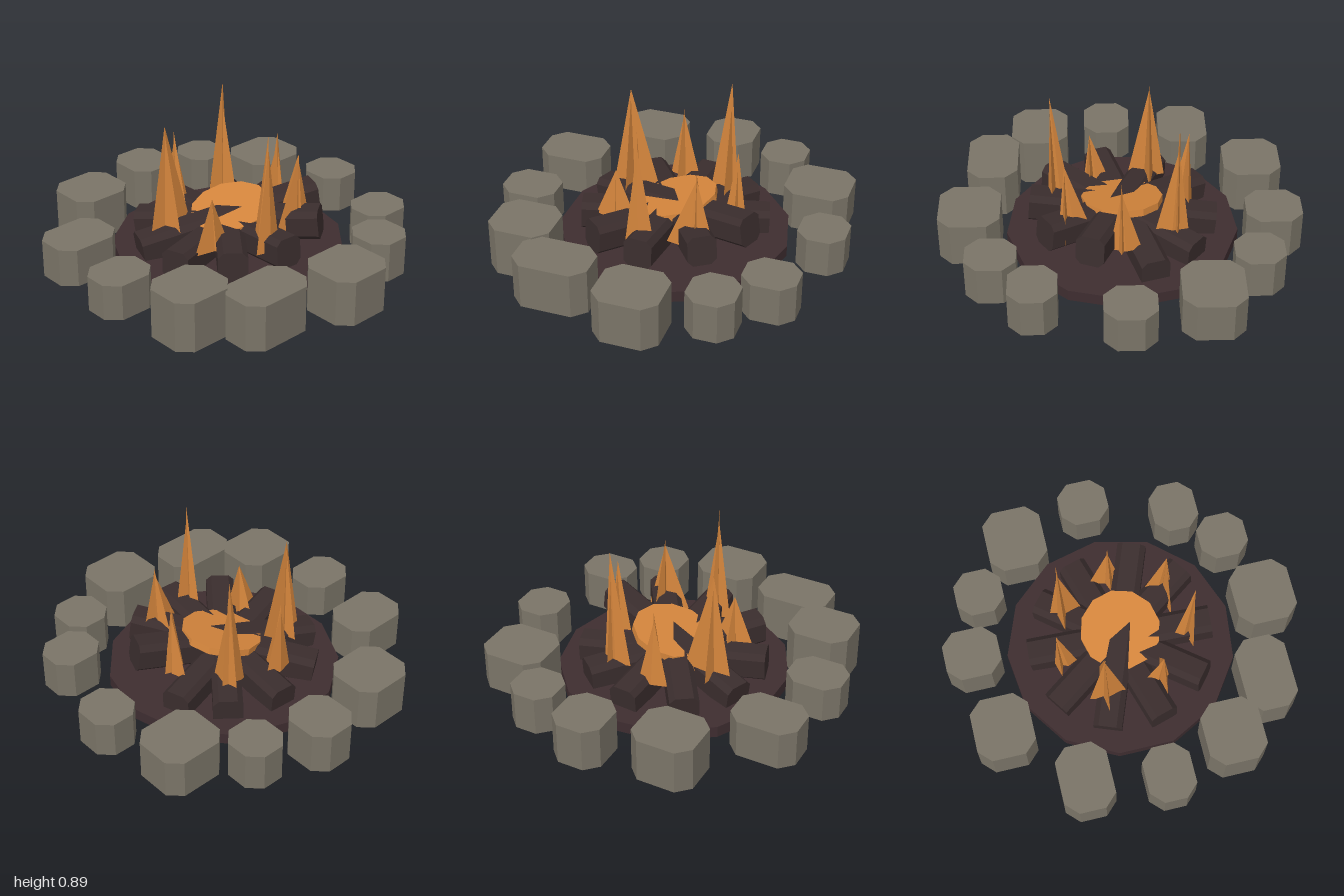
import * as THREE from 'three';

const material = (name, color) => {
  const m = new THREE.MeshStandardMaterial({ color });
  m.name = name;
  return m;
};

// Hard-edged faces for the low-poly look
function faceted(geometry) {
  const g = geometry.index ? geometry.toNonIndexed() : geometry;
  g.computeVertexNormals();
  return g;
}

// Rectangle with cut corners, extruded along z and centred
function chamferedPrism(w, h, depth, c) {
  const a = w / 2, b = h / 2;
  const points = [[a, -b + c], [a, b - c], [a - c, b], [-a + c, b],
    [-a, b - c], [-a, -b + c], [-a + c, -b], [a - c, -b]];
  const shape = new THREE.Shape(points.map(([x, y]) => new THREE.Vector2(x, y)));
  const g = new THREE.ExtrudeGeometry(shape, { depth, bevelEnabled: false });
  return g.translate(0, 0, -depth / 2);
}

// Thin upright spike: diamond base at y = 0.2, apex leaning off its middle
function spike(lo, hi, tip, top, thickness) {
  const base = 0.2, mid = (lo + hi) / 2;
  const g = new THREE.ConeGeometry(1, 1, 4, 1);
  g.translate(0, 0.5, 0);
  const p = g.attributes.position;
  for (let i = 0; i < p.count; i++) {
    const y = p.getY(i);
    p.setXYZ(i, mid + p.getX(i) * (hi - lo) / 2 + y * (tip - mid),
      base + y * (top - base), p.getZ(i) * thickness);
  }
  return g;
}

export function createModel() {
  const model = new THREE.Group();
  model.name = 'campfire';
  const stoneGrey = material('stone grey', 0x7a7467);
  const charredWood = material('charred wood', 0x3a2d2d);
  const ashBrown = material('ash brown', 0x3e2d30);
  const flameOrange = material('flame orange', 0xd4853c);

  const add = (parent, name, geometry, mat) => {
    const mesh = new THREE.Mesh(faceted(geometry), mat);
    mesh.name = name;
    parent.add(mesh);
    return mesh;
  };
  const group = (name) => {
    const g = new THREE.Group();
    g.name = name;
    model.add(g);
    return g;
  };

  // Ash bed
  const bed = new THREE.CylinderGeometry(0.647, 0.647, 0.065, 13);
  bed.rotateY(Math.PI / 2);
  add(model, 'ashBed', bed, ashBrown).position.set(0.005, 0.062, -0.012);

  // Ring of stones: x from, x to, z from, z to, y from, y to
  const ring = group('stoneRing');
  [
    [-0.55, -0.196, -0.926, -0.6, 0.015, 0.265],
    [-0.058, 0.228, -1.0, -0.69, 0.02, 0.26],
    [0.307, 0.57, -0.87, -0.6, 0.03, 0.25],
    [0.53, 0.9, -0.635, -0.3, 0.025, 0.25],
    [0.715, 0.98, -0.175, 0.105, 0.035, 0.245],
    [0.55, 0.846, 0.34, 0.6, 0.03, 0.25],
    [0.323, 0.59, 0.56, 0.836, 0.025, 0.25],
    [-0.12, 0.243, 0.66, 1.0, 0.01, 0.265],
    [-0.62, -0.196, 0.577, 0.863, 0.01, 0.27],
    [-0.87, -0.513, 0.296, 0.62, 0, 0.28],
    [-0.985, -0.67, -0.07, 0.196, 0.04, 0.24],
    [-0.937, -0.56, -0.53, -0.243, 0.03, 0.245],
  ].forEach(([x0, x1, z0, z1, y0, y1]) => {
    const g = chamferedPrism(x1 - x0, z1 - z0, y1 - y0, 0.07);
    g.rotateX(-Math.PI / 2);
    add(ring, 'stone', g, stoneGrey)
      .position.set((x0 + x1) / 2, (y0 + y1) / 2, (z0 + z1) / 2);
  });

  // Five crossed logs: both ends as x, top height, z
  const logs = group('logs');
  const logHeight = 0.17;
  [
    [[0.5, 0.22, -0.18], [-0.5, 0.25, 0.12]],
    [[0.33, 0.22, -0.41], [-0.33, 0.285, 0.39]],
    [[0.04, 0.22, -0.53], [-0.03, 0.31, 0.5]],
    [[-0.285, 0.22, -0.445], [0.3, 0.345, 0.41]],
    [[-0.48, 0.215, -0.2], [0.49, 0.37, 0.17]],
  ].forEach(([from, to]) => {
    const a = new THREE.Vector3(...from), b = new THREE.Vector3(...to);
    a.y -= logHeight / 2;
    b.y -= logHeight / 2;
    const log = add(logs, 'log', chamferedPrism(0.16, logHeight, a.distanceTo(b), 0.03), charredWood);
    log.position.copy(a).lerp(b, 0.5);
    log.lookAt(b);
  });

  // Glowing disc tilted up through the crossing of the logs
  const embers = add(model, 'embers', new THREE.CylinderGeometry(0.225, 0.225, 0.04, 12), flameOrange);
  embers.position.set(0.02, 0.276, -0.01);
  embers.rotation.z = 0.235;

  // Flames of two crossed spikes: [x from, to, tip, top], [z from, to, tip, top]
  const flames = group('flames');
  [
    [[-0.147, 0.025, -0.07, 0.595], [-0.39, -0.28, -0.38, 0.645]],
    [[0.12, 0.28, 0.23, 0.885], [-0.37, -0.185, -0.305, 0.745]],
    [[0.29, 0.42, 0.365, 0.637], [-0.11, 0.065, 0, 0.567]],
    [[0.064, 0.333, 0.23, 0.616], [0.15, 0.34, 0.3, 0.652]],
    [[-0.147, 0.02, -0.07, 0.795], [0.27, 0.38, 0.375, 0.888]],
    [[-0.397, -0.16, -0.275, 0.5], [0.06, 0.2, 0.165, 0.495]],
    [[-0.42, -0.14, -0.31, 0.82], [-0.26, -0.05, -0.17, 0.777]],
  ].forEach(([across, along]) => {
    const flame = new THREE.Group();
    flame.name = 'flame';
    flames.add(flame);
    add(flame, 'wideSpike', spike(...across, 0.025), flameOrange).position.z = along[2];
    const [lo, hi, tip, top] = along;
    const deep = spike(-hi, -lo, -tip, top, 0.025);
    deep.rotateY(Math.PI / 2);
    add(flame, 'deepSpike', deep, flameOrange).position.x = across[2];
  });

  return model;
}
